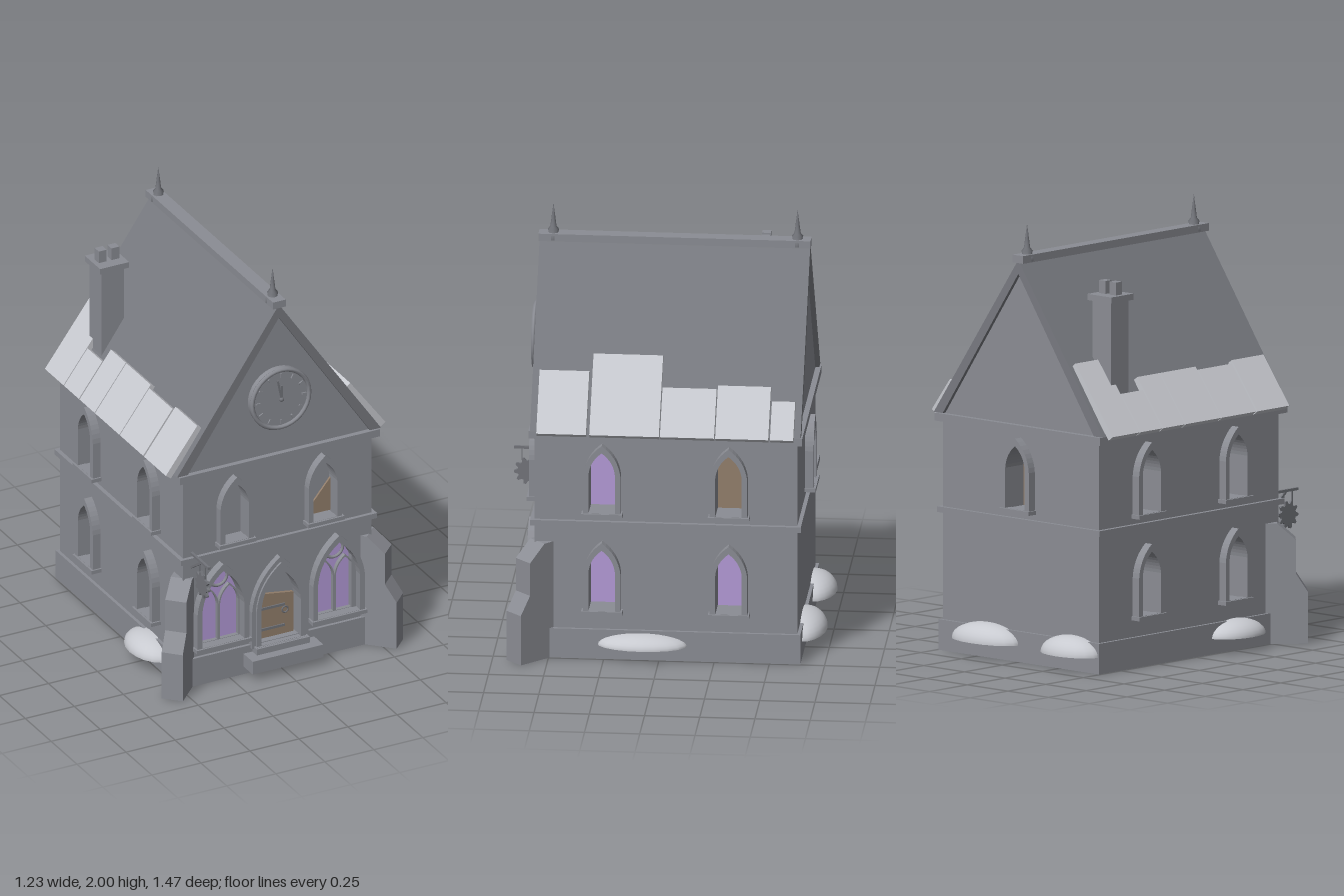
import * as THREE from 'three';

const mat = (name, color, double = false) => {
  const m = new THREE.MeshStandardMaterial({ color });
  m.name = name;
  if (double) m.side = THREE.DoubleSide;
  return m;
};

export function createModel() {
  const stone = mat('stone', 0x8b8d94);
  const slate = mat('roof slate', 0x787a80);
  const snow = mat('snow', 0xc8cad0);
  const glass = mat('violet glass', 0xb49ad8, true);
  const wood = mat('wood', 0x937f6c, true);
  const metal = mat('metal', 0x73757b);

  const house = new THREE.Group();
  house.name = 'house';
  const CZ = -0.03, HX = 0.48, HZ = 0.595;

  const add = (parent, name, geo, m, x = 0, y = 0, z = 0) => {
    const mesh = new THREE.Mesh(geo, m);
    mesh.name = name;
    mesh.position.set(x, y, z);
    parent.add(mesh);
    return mesh;
  };
  const box = (parent, name, m, w, h, d, x, y, z) =>
    add(parent, name, new THREE.BoxGeometry(w, h, d), m, x, y, z);
  const extrude = (shape, depth) =>
    new THREE.ExtrudeGeometry(shape, { depth, bevelEnabled: false, curveSegments: 8 });
  const poly = (pts) => new THREE.Shape(pts.map(([x, y]) => new THREE.Vector2(x, y)));

  // Pointed arch outline: half width w, from y0 up to apex a
  const arch = (u, w, y0, a, Type = THREE.Shape) => {
    const s = a - w * 1.75, k = s + (a - s) * 0.62, p = new Type();
    p.moveTo(u - w, y0);
    p.lineTo(u + w, y0);
    p.lineTo(u + w, s);
    p.quadraticCurveTo(u + w * 0.9, k, u, a);
    p.quadraticCurveTo(u - w * 0.9, k, u - w, s);
    p.lineTo(u - w, y0);
    return p;
  };
  const archRing = (u, w, y0, a, t) => {
    const ring = arch(u, w + t, y0, a + t * 1.4);
    ring.holes.push(arch(u, w, y0 + 0.002, a, THREE.Path));
    return ring;
  };

  // Wall with arched openings, frames, sills and panes; local z = 0 is its outer face
  const wall = (name, outline, windows, x, z, turn) => {
    const g = new THREE.Group();
    g.name = name;
    g.position.set(x, 0, z);
    g.rotation.y = turn;
    house.add(g);
    const shape = poly(outline);
    for (const o of windows) {
      shape.holes.push(arch(o.u, o.w, o.y0, o.a, THREE.Path));
      add(g, 'windowFrame', extrude(archRing(o.u, o.w, o.y0, o.a, 0.025), 0.04), stone);
      box(g, 'windowSill', stone, o.w * 2 + 0.066, 0.018, 0.05, o.u, o.y0 - 0.008, 0.025);
      add(g, 'windowPane', new THREE.ShapeGeometry(arch(o.u, o.w, o.y0, o.a), 8), o.pane, 0, 0, -o.depth);
    }
    add(g, 'wallPanel', extrude(shape, 0.1), stone, 0, 0, -0.1);
    return g;
  };
  const gable = [[-HX, 0.1], [HX, 0.1], [HX, 1.1], [0, 1.8], [-HX, 1.1]];
  const small = (u, y0, pane, depth) => ({ u, w: 0.06, y0, a: y0 + 0.29, pane, depth });
  const large = (u) => ({ u, w: 0.107, y0: 0.195, a: 0.565, pane: glass, depth: 0.03 });

  const front = wall('frontWall', gable, [
    large(-0.295), large(0.295),
    { u: 0, w: 0.1, y0: 0.135, a: 0.5, pane: stone, depth: 0.035 },
    small(-0.225, 0.7, stone, 0.04), small(0.225, 0.7, stone, 0.04),
  ], 0, CZ + HZ, 0);
  wall('backWall', gable, [small(0, 0.7, wood, 0.08)], 0, CZ - HZ, Math.PI);
  const D = HZ - 0.002;
  const side = [[-D, 0.1], [D, 0.1], [D, 1.07], [-D, 1.07]];
  for (const s of [1, -1]) {
    const list = [];
    for (const u of [-0.287, 0.287]) {
      list.push(small(u, 0.235, glass, 0.095));
      list.push(small(u, 0.7, s > 0 && u > 0 ? wood : glass, 0.095));
    }
    wall('sideWall', side, list, s * HX, CZ, s * Math.PI / 2);
  }

  // Tracery in the two large front windows
  for (const u of [-0.295, 0.295]) {
    for (const d of [-0.053, 0.053])
      add(front, 'lancet', extrude(archRing(u + d, 0.046, 0.197, 0.46, 0.007), 0.02), stone, 0, 0, -0.025);
    add(front, 'traceryRing', new THREE.TorusGeometry(0.047, 0.008, 6, 20), stone, u, 0.515, -0.015);
  }

  // Door with broken top, hinges and ring; outer arch and steps
  add(front, 'door', extrude(poly([[-0.092, 0.14], [0.092, 0.14], [0.092, 0.34], [-0.092, 0.368]]), 0.015), wood, 0, 0, -0.032);
  for (const y of [0.185, 0.29]) box(front, 'hinge', metal, 0.13, 0.012, 0.006, -0.02, y, -0.014);
  add(front, 'doorRing', new THREE.TorusGeometry(0.015, 0.004, 6, 14), metal, 0.045, 0.265, -0.01);
  add(front, 'doorArch', extrude(archRing(0, 0.122, 0.125, 0.53, 0.022), 0.03), stone);
  box(house, 'lowerStep', stone, 0.36, 0.065, 0.12, 0, 0.072, 0.61);
  box(house, 'upperStep', stone, 0.27, 0.03, 0.07, 0, 0.12, 0.59);

  // Plank leaning in an upper window
  add(front, 'windowPlank', extrude(poly([[0.165, 0.705], [0.285, 0.705], [0.285, 0.87], [0.155 + 0.01, 0.725]]), 0.01), wood, 0, 0, -0.037);

  // Horizontal courses
  box(house, 'plinth', stone, 0.99, 0.14, 1.22, 0, 0.07, CZ);
  box(house, 'stringCourse', stone, 1.0, 0.026, 1.225, 0, 0.643, CZ);
  box(house, 'cornice', stone, 1.02, 0.036, 1.24, 0, 1.066, CZ);

  // Roof, ridge and finials
  add(house, 'roof', extrude(poly([[0, 1.84], [-0.52, 1.086], [-0.465, 1.086], [0, 1.775], [0.465, 1.086], [0.52, 1.086]]), 1.225), slate, 0, 0, -0.643);
  box(house, 'ridge', stone, 0.065, 0.035, 1.232, 0, 1.843, CZ);
  const spire = [[0.036, 0], [0.036, 0.02], [0.022, 0.032], [0.026, 0.045], [0.014, 0.06], [0.009, 0.1], [0, 0.17]]
    .map(([r, y]) => new THREE.Vector2(r, y));
  for (const z of [0.52, -0.585]) add(house, 'finial', new THREE.LatheGeometry(spire, 8), metal, 0, 1.83, z);

  // Snow-covered eaves slabs: [side, z start, z end, inner x]
  const slope = 1.35;
  for (const [s, z0, z1, xi] of [
    [1, 0.325, 0.55, 0.38], [1, -0.005, 0.31, 0.33], [1, -0.255, -0.01, 0.42], [1, -0.5, -0.26, 0.41], [1, -0.613, -0.508, 0.45],
    [-1, 0.34, 0.55, 0.4], [-1, 0.105, 0.33, 0.41], [-1, -0.135, 0.1, 0.4], [-1, -0.285, -0.14, 0.4], [-1, -0.435, -0.292, 0.44], [-1, -0.62, -0.44, 0.33],
  ]) {
    const run = 0.56 - xi, angle = Math.atan(slope), t = 0.032;
    const x = (0.56 + xi) / 2 - Math.sin(angle) * t / 2;
    const y = 1.09 + run * slope / 2 - Math.cos(angle) * t / 2;
    const slab = box(house, 'eavesSlab', snow, run * Math.hypot(1, slope), t, z1 - z0, s * x, y, (z0 + z1) / 2);
    slab.rotation.z = -s * angle;
  }

  // Chimney
  box(house, 'chimney', stone, 0.115, 0.6, 0.115, -0.353, 1.38, -0.412);
  box(house, 'chimneyCap', stone, 0.148, 0.028, 0.148, -0.353, 1.683, -0.412);
  for (const x of [-0.385, -0.32]) box(house, 'chimneyPot', stone, 0.04, 0.06, 0.04, x, 1.726, -0.412);

  // Clock
  const clock = new THREE.Group();
  clock.name = 'clock';
  clock.position.set(0, 1.37, CZ + HZ);
  house.add(clock);
  add(clock, 'clockFace', new THREE.CylinderGeometry(0.15, 0.15, 0.035, 32), stone, 0, 0, 0.0175).rotation.x = Math.PI / 2;
  add(clock, 'clockRim', new THREE.TorusGeometry(0.145, 0.011, 6, 32), stone, 0, 0, 0.035);
  for (let i = 0; i < 12; i++) {
    const a = i * Math.PI / 6;
    box(clock, 'hourMark', stone, 0.008, 0.022, 0.008, Math.sin(a) * 0.117, Math.cos(a) * 0.117, 0.037).rotation.z = -a;
  }
  for (const [len, a] of [[0.1, 0.2], [0.07, 0]])
    box(clock, 'clockHand', metal, 0.008, len, 0.006, -Math.sin(a) * len / 2, Math.cos(a) * len / 2, 0.043).rotation.z = a;
  add(clock, 'clockHub', new THREE.SphereGeometry(0.011, 10, 8), metal, 0, 0, 0.043);

  // Diagonal corner buttresses
  const profile = poly([[-0.1, 0], [0.17, 0], [0.17, 0.235], [0.115, 0.32], [0.115, 0.475], [0.03, 0.55], [-0.1, 0.55]]);
  for (const s of [1, -1]) {
    const b = new THREE.Group();
    b.name = 'buttress';
    b.position.set(s * 0.46, 0, 0.53);
    b.rotation.y = s > 0 ? -Math.PI / 4 : -Math.PI * 3 / 4;
    add(b, 'buttressStone', extrude(profile, 0.1), stone, 0, 0, -0.05);
    house.add(b);
  }

  // Hanging gear sign on a bracket
  const sign = new THREE.Group();
  sign.name = 'hangingSign';
  sign.position.x = -0.437;
  house.add(sign);
  box(sign, 'signBar', metal, 0.012, 0.012, 0.175, 0, 0.674, 0.648);
  box(sign, 'signBrace', metal, 0.01, 0.01, 0.115, 0, 0.635, 0.612).rotation.x = -0.62;
  const teeth = [];
  for (let i = 0; i < 40; i++) {
    const r = i % 4 < 2 ? 0.064 : 0.048, a = i * Math.PI / 20;
    teeth.push([Math.cos(a) * r, Math.sin(a) * r]);
  }
  add(sign, 'gear', extrude(poly(teeth), 0.012), metal, -0.006, 0.563, 0.672).rotation.y = Math.PI / 2;
  for (const z of [0.645, 0.7]) box(sign, 'signHanger', metal, 0.005, 0.06, 0.005, 0, 0.645, z);

  // Snow drifts: flat-bottomed domes against the walls
  const drift = (x, y, z, rx, ry, rz) => {
    const g = new THREE.Group();
    g.name = 'snowDrift';
    g.position.set(x, y, z);
    g.scale.set(rx, ry, rz);
    add(g, 'driftDome', new THREE.SphereGeometry(1, 20, 8, 0, Math.PI * 2, 0, Math.PI / 2), snow);
    add(g, 'driftBase', new THREE.CircleGeometry(1, 20), snow).rotation.x = Math.PI / 2;
    house.add(g);
  };
  drift(-0.32, 0.075, -0.63, 0.17, 0.085, 0.108);
  drift(0.2, 0.075, -0.63, 0.2, 0.085, 0.108);
  drift(0.485, 0.07, 0.075, 0.1, 0.058, 0.205);
  drift(-0.485, 0.07, 0.27, 0.112, 0.075, 0.165);

  return house;
}
